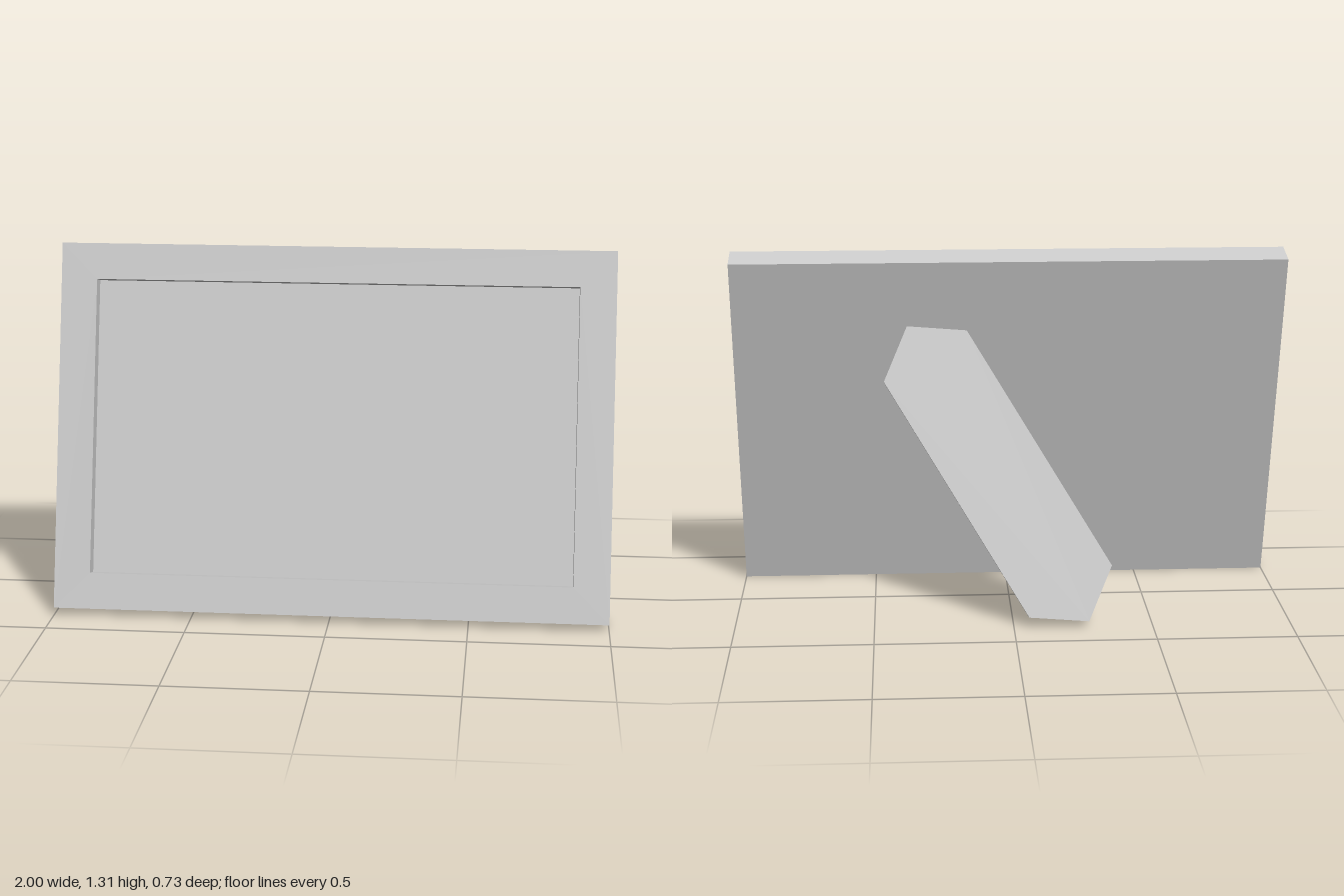
import * as THREE from 'three';

const material = new THREE.MeshStandardMaterial({ color: 0xcccccc, flatShading: true });

function polygon(points, PathType = THREE.Shape) {
  return new PathType(points.map(([x, y]) => new THREE.Vector2(x, y)));
}

function rectangle(halfWidth, bottom, top, PathType) {
  return polygon([[-halfWidth, bottom], [halfWidth, bottom], [halfWidth, top], [-halfWidth, top]], PathType);
}

function slab(name, shape, depth, z) {
  const geometry = new THREE.ExtrudeGeometry(shape, { depth, bevelEnabled: false });
  geometry.translate(0, 0, z);
  const mesh = new THREE.Mesh(geometry, material);
  mesh.name = name;
  return mesh;
}

export function createModel() {
  const model = new THREE.Group();
  model.name = 'pictureFrame';

  // Leaning frame: a solid back panel with a raised border in front
  const height = 1.325, border = 0.13, recess = 0.056, thickness = 0.11;
  const frame = new THREE.Group();
  frame.name = 'frame';
  const rim = rectangle(1, 0, height);
  rim.holes.push(rectangle(1 - border, border, height - border, THREE.Path));
  frame.add(
    slab('backPanel', rectangle(1, 0, height), thickness - recess, 0),
    slab('frameBorder', rim, recess, thickness - recess)
  );
  frame.position.set(0, 0, 0.26);
  frame.rotation.x = -THREE.MathUtils.degToRad(15);
  model.add(frame);

  // Slanted easel leg: half the outline, repeated by a half turn
  const half = [[-0.32, -0.534], [-0.105, -0.517], [0.405, 0.335]];
  const outline = [...half, ...half.map(([x, y]) => [-x, -y])];
  const leg = slab('easelLeg', polygon(outline), 0.056, -0.028);
  leg.position.set(0.05, 0.527, -0.19);
  leg.rotation.x = 0.285;
  model.add(leg);

  return model;
}
